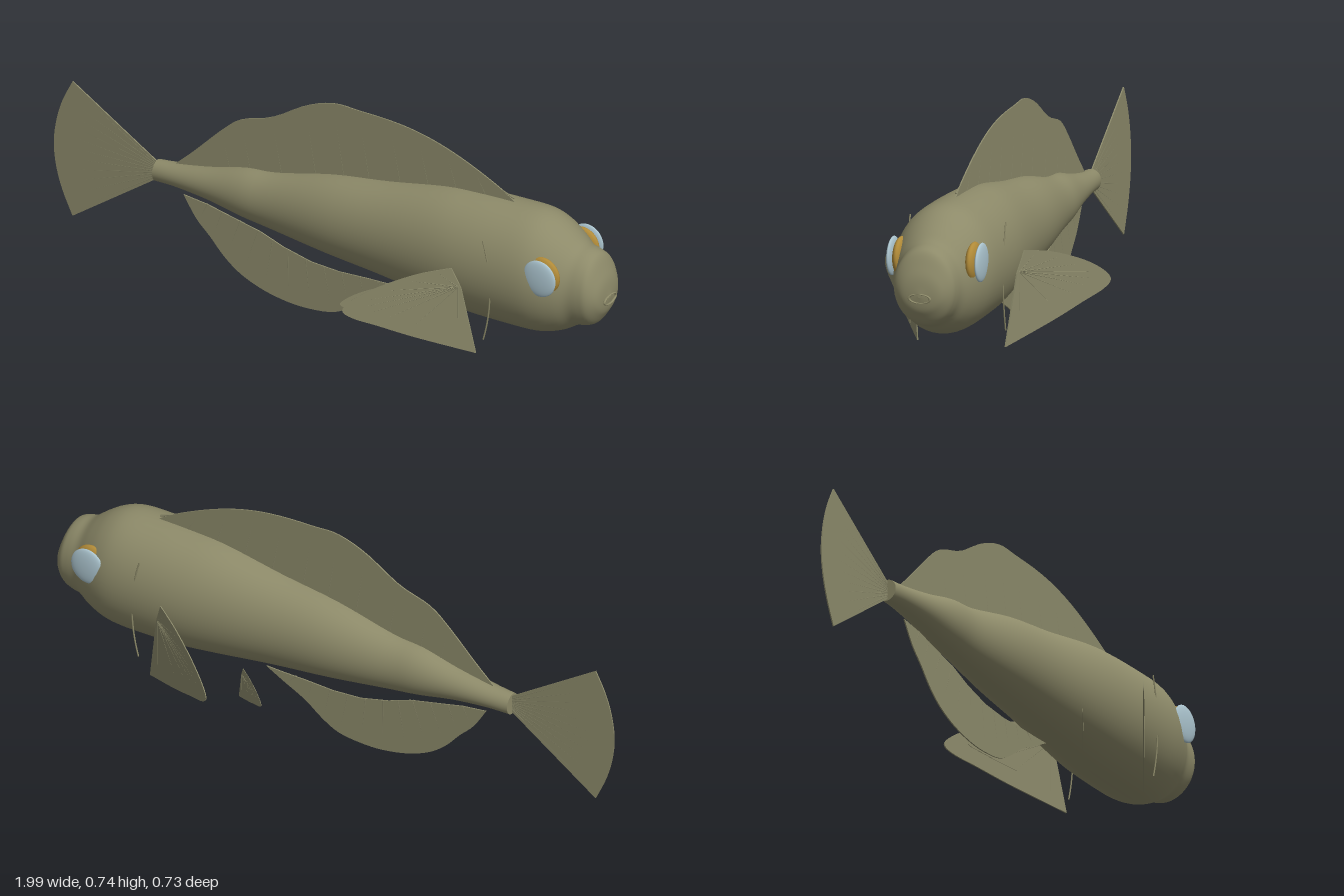
import * as THREE from 'three';

const mat = (name, color, side = THREE.FrontSide) => {
  const m = new THREE.MeshStandardMaterial({ color, side });
  m.name = name;
  return m;
};

export function createModel() {
  const fish = new THREE.Group();
  fish.name = 'fish';
  const skin = mat('olive skin', 0x8d8a69);
  const finSkin = mat('olive fin', 0x8b896a, THREE.DoubleSide);
  const gold = mat('gold iris', 0xb08a38);
  const cornea = mat('pale blue cornea', 0xabc4ce);

  const add = (parent, name, geometry, material) => {
    const mesh = new THREE.Mesh(geometry, material);
    mesh.name = name;
    parent.add(mesh);
    return mesh;
  };

  // Body: elliptical sections given as x, top, bottom, half width
  const stations = [
    [-0.63, 0.37, 0.3, 0.032], [-0.55, 0.378, 0.3, 0.04], [-0.43, 0.4, 0.288, 0.054],
    [-0.31, 0.43, 0.265, 0.07], [-0.2, 0.442, 0.25, 0.078], [0, 0.49, 0.225, 0.108],
    [0.2, 0.52, 0.205, 0.127], [0.4, 0.557, 0.18, 0.151], [0.52, 0.566, 0.168, 0.162],
    [0.64, 0.569, 0.165, 0.165], [0.74, 0.568, 0.165, 0.162], [0.8, 0.55, 0.174, 0.15],
    [0.85, 0.518, 0.193, 0.13], [0.89, 0.487, 0.217, 0.109], [0.925, 0.477, 0.225, 0.102],
    [0.95, 0.462, 0.238, 0.096], [0.97, 0.42, 0.266, 0.077], [0.982, 0.385, 0.29, 0.052],
    [0.988, 0.34, 0.328, 0.006],
  ];
  const outline = new THREE.CatmullRomCurve3(
    stations.map(([x, t, b]) => new THREE.Vector3(x, t, b)), false, 'catmullrom');
  const widths = new THREE.CatmullRomCurve3(
    stations.map(([x, , , w]) => new THREE.Vector3(x, w, 0)), false, 'catmullrom');
  const rings = (stations.length - 1) * 4, sides = 48;
  const positions = [], index = [];
  for (let i = 0; i <= rings; i++) {
    const o = outline.getPoint(i / rings), w = widths.getPoint(i / rings).y;
    for (let j = 0; j < sides; j++) {
      const a = (j / sides) * Math.PI * 2;
      positions.push(o.x, (o.y + o.z) / 2 + ((o.y - o.z) / 2) * Math.cos(a), w * Math.sin(a));
      if (i === rings) continue;
      const p = i * sides + j, q = i * sides + ((j + 1) % sides);
      index.push(p, q, p + sides, q, q + sides, p + sides);
    }
  }
  const bodyGeo = new THREE.BufferGeometry();
  bodyGeo.setAttribute('position', new THREE.Float32BufferAttribute(positions, 3));
  bodyGeo.setIndex(index);
  bodyGeo.computeVertexNormals();
  add(fish, 'body', bodyGeo, skin);

  // Flat ends of the tail stalk and snout
  for (const [name, x, y, rz, ry, turn] of [
    ['tailStalkEnd', -0.63, 0.335, 0.032, 0.035, -1], ['snoutTip', 0.988, 0.334, 0.006, 0.006, 1]]) {
    const cap = add(fish, name, new THREE.CircleGeometry(1, sides), skin);
    cap.scale.set(rz, ry, 1);
    cap.rotation.y = turn * Math.PI / 2;
    cap.position.set(x, y, 0);
  }

  // Lips
  const lips = add(fish, 'mouth', new THREE.TorusGeometry(0.034, 0.004, 10, 40), skin);
  lips.rotation.y = Math.PI / 2;
  lips.scale.y = 0.42;
  lips.position.set(0.988, 0.325, 0);

  // Fin helpers: a thin membrane and slender rays in the x-y plane
  const points = list => list.map(([x, y]) => new THREE.Vector2(x, y));
  const membrane = (edge, base) => {
    const shape = new THREE.Shape(
      new THREE.SplineCurve(points(edge)).getPoints(48).concat(points(base)));
    return new THREE.ExtrudeGeometry(shape, { depth: 0.004, bevelEnabled: false }).translate(0, 0, -0.002);
  };
  const ray = ([x1, y1], [x2, y2], r = 0.003) => {
    const length = Math.hypot(x2 - x1, y2 - y1);
    return new THREE.CylinderGeometry(r * 0.6, r, length, 6)
      .rotateZ(Math.atan2(y2 - y1, x2 - x1) - Math.PI / 2)
      .translate((x1 + x2) / 2, (y1 + y2) / 2, 0);
  };

  // Dorsal fin, its base buried in the back
  const dorsal = new THREE.Group();
  dorsal.name = 'dorsalFin';
  fish.add(dorsal);
  const dorsalEdge = [[-0.57, 0.37], [-0.5, 0.435], [-0.4, 0.535], [-0.33, 0.59], [-0.22, 0.628],
    [-0.1, 0.7], [0, 0.735], [0.09, 0.734], [0.2, 0.73], [0.3, 0.717], [0.4, 0.69], [0.5, 0.65],
    [0.6, 0.6], [0.66, 0.56]];
  add(dorsal, 'dorsalMembrane', membrane(dorsalEdge,
    [[0.6, 0.53], [0.4, 0.53], [0.2, 0.49], [0, 0.46], [-0.2, 0.415], [-0.4, 0.38]]), finSkin);
  const dorsalCurve = new THREE.SplineCurve(points(dorsalEdge));
  for (let i = 1; i < 13; i++) {
    const p = dorsalCurve.getPoint(i / 13);
    const x = p.x + 0.045;
    add(dorsal, 'dorsalRay', ray([x, Math.min(0.43 + x * 0.24, p.y - 0.02)], [p.x, p.y - 0.002]), finSkin);
  }

  // Anal fin, hanging just clear of the belly
  const anal = new THREE.Group();
  anal.name = 'analFin';
  fish.add(anal);
  const analEdge = [[-0.535, 0.275], [-0.49, 0.205], [-0.44, 0.155], [-0.39, 0.1], [-0.33, 0.055],
    [-0.25, 0.022], [-0.16, 0.004], [-0.08, 0.002], [0, 0.013], [0.06, 0.045], [0.12, 0.09],
    [0.2, 0.132], [0.26, 0.165]];
  const analBase = [[0.2, 0.163], [0.12, 0.162], [0.02, 0.158], [-0.08, 0.165], [-0.18, 0.19],
    [-0.26, 0.22], [-0.36, 0.243], [-0.45, 0.264]];
  add(anal, 'analMembrane', membrane(analEdge, analBase), finSkin);
  const analCurve = new THREE.SplineCurve(points(analEdge));
  const analTop = new THREE.SplineCurve(points(analBase));
  for (let i = 0; i < 11; i++) {
    const top = analTop.getPoint(1 - i / 11), low = analCurve.getPoint((i + 1.2) / 12.4);
    add(anal, 'analRay', ray([top.x, top.y], [low.x, low.y + 0.003]), finSkin);
  }

  // Tail fan
  const tail = new THREE.Group();
  tail.name = 'tailFin';
  fish.add(tail);
  const tailEdge = [[-0.932, 0.56], [-0.968, 0.485], [-0.99, 0.41], [-0.999, 0.33], [-0.99, 0.25],
    [-0.968, 0.175], [-0.932, 0.095]];
  add(tail, 'tailMembrane', membrane(tailEdge, [[-0.62, 0.312], [-0.62, 0.358]]), finSkin);
  const tailCurve = new THREE.SplineCurve(points(tailEdge));
  for (let i = 0; i < 11; i++) {
    const p = tailCurve.getPoint((i + 0.5) / 11);
    add(tail, 'tailRay', ray([-0.625, 0.352 - i * 0.0034], [p.x + 0.004, p.y]), finSkin);
  }

  // Paired fin swept outward and back, drawn about its root
  const pairedEdge = [[-0.01, 0.06], [-0.1, 0.04], [-0.2, -0.002], [-0.265, -0.045], [-0.29, -0.08],
    [-0.265, -0.107], [-0.2, -0.135], [-0.1, -0.178], [0.053, -0.235]];
  const pairedCurve = new THREE.SplineCurve(points(pairedEdge));
  const sweep = geometry => {
    const p = geometry.attributes.position;
    for (let i = 0; i < p.count; i++) p.setZ(i, p.getZ(i) - 0.65 * p.getX(i));
    geometry.computeVertexNormals();
    return geometry;
  };
  const pairedFin = (name, size, x, y, z) => {
    const fin = new THREE.Group();
    fin.name = name;
    add(fin, name + 'Membrane', sweep(membrane(pairedEdge, [[0.015, -0.01]])), finSkin);
    for (let i = 0; i < 9; i++) {
      const p = pairedCurve.getPoint((i + 0.6) / 9);
      add(fin, name + 'Ray', sweep(ray([0.008, -0.005], [p.x * 0.98, p.y * 0.98])), finSkin);
    }
    fin.scale.setScalar(size);
    fin.position.set(x, y, z);
    return fin;
  };

  // Parts mirrored on both flanks
  for (const side of [1, -1]) {
    const flank = new THREE.Group();
    flank.name = side > 0 ? 'nearFlank' : 'farFlank';
    flank.scale.z = side;
    fish.add(flank);

    const iris = add(flank, 'eyeball', new THREE.SphereGeometry(1, 32, 20), gold);
    iris.scale.set(0.06, 0.062, 0.021);
    iris.position.set(0.818, 0.413, 0.118);
    const lens = add(flank, 'cornea', new THREE.SphereGeometry(1, 32, 20), cornea);
    lens.scale.set(0.058, 0.061, 0.012);
    lens.position.set(0.82, 0.413, 0.143);

    const gill = new THREE.QuadraticBezierCurve3(new THREE.Vector3(0.625, 0.498, 0.155),
      new THREE.Vector3(0.675, 0.327, 0.155), new THREE.Vector3(0.627, 0.157, 0.155));
    add(flank, 'gillEdge', new THREE.TubeGeometry(gill, 24, 0.0025, 6), skin);

    flank.add(pairedFin('pectoralFin', 1, 0.54, 0.33, 0.176));
    flank.add(pairedFin('pelvicFin', 0.4, 0.264, 0.206, 0.134));
  }
  return fish;
}
